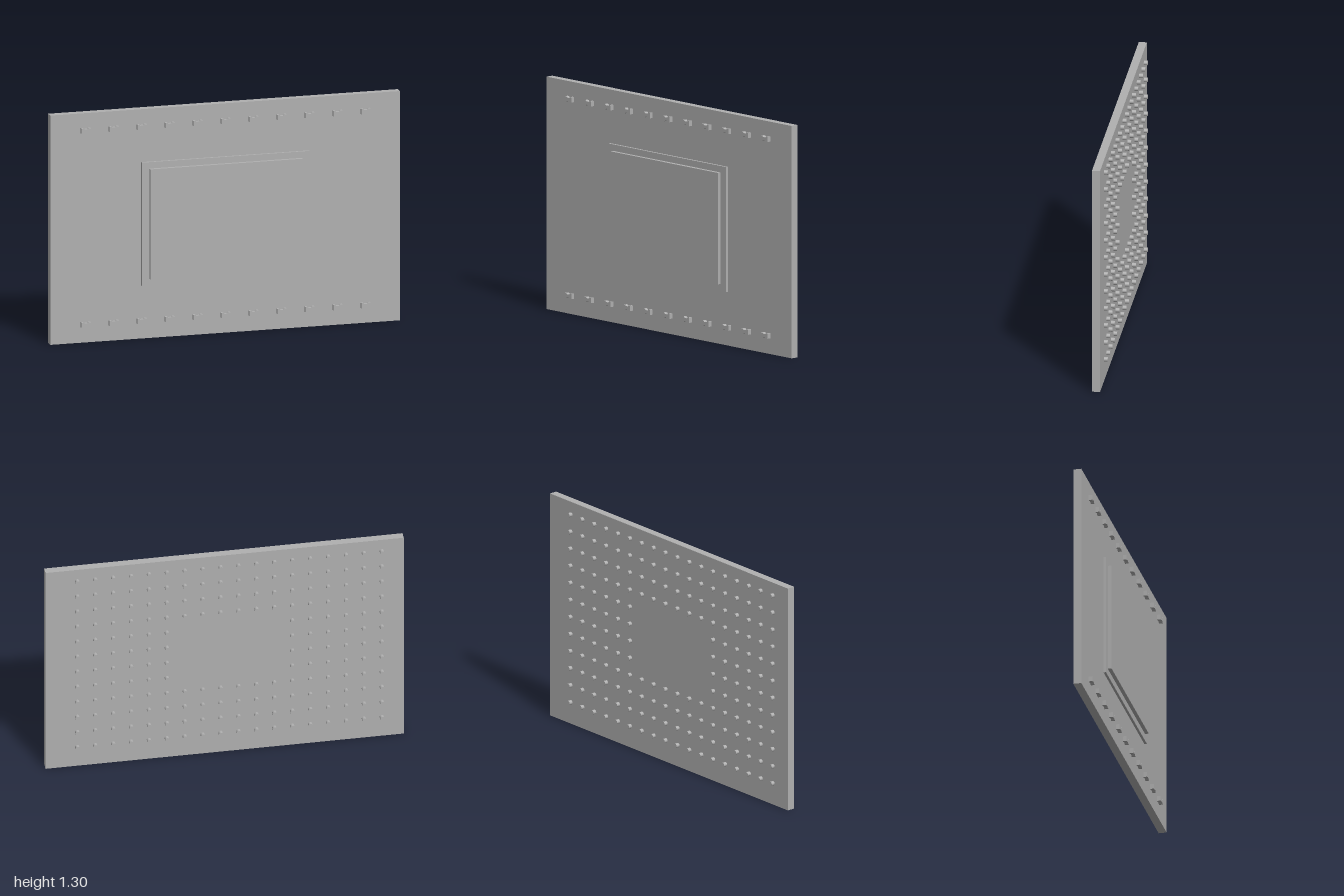
import * as THREE from 'three';

export function createModel() {
  const model = new THREE.Group();
  model.name = 'chipPackage';
  const grey = new THREE.MeshStandardMaterial({ color: 0xb0b0b0 });
  grey.name = 'plain grey';

  const BACK = -0.029, FRONT = 0.016;

  const add = (name, geometry, x, y, z, parent = model) => {
    const mesh = new THREE.Mesh(geometry, grey);
    mesh.name = name;
    mesh.position.set(x, y, z);
    parent.add(mesh);
    return mesh;
  };
  // Box given by its extents in x, y and z
  const slab = (name, x0, x1, y0, y1, z0, z1) =>
    add(name, new THREE.BoxGeometry(x1 - x0, y1 - y0, z1 - z0),
      (x0 + x1) / 2, (y0 + y1) / 2, (z0 + z1) / 2);

  // Board and the stepped lid on its front
  slab('board', -1, 1, 0, 1.3, BACK, FRONT);
  slab('lidFlange', -0.48, 0.48, 0.3, 1.0, FRONT, 0.03);
  slab('lidTop', -0.438, 0.436, 0.34, 0.964, 0.03, 0.051);

  // Small waisted components in two rows
  const outline = [
    [-0.027, -0.0145], [-0.015, -0.0145], [-0.009, -0.009], [0.009, -0.009],
    [0.015, -0.0145], [0.027, -0.0145], [0.027, 0.0145], [0.015, 0.0145],
    [0.009, 0.009], [-0.009, 0.009], [-0.015, 0.0145], [-0.027, 0.0145],
  ].map(([x, y]) => new THREE.Vector2(x, y));
  const componentGeo = new THREE.ExtrudeGeometry(new THREE.Shape(outline),
    { depth: 0.021, bevelEnabled: false });
  const components = new THREE.Group();
  components.name = 'surfaceComponents';
  model.add(components);
  for (const y of [0.103, 1.203])
    for (let i = 0; i < 11; i++)
      add('component', componentGeo, -0.8 + i * 0.16, y, FRONT, components);

  // Grid of round contacts on the back, with an empty centre
  const contactGeo = new THREE.CylinderGeometry(0.0125, 0.0125, 0.021, 20);
  contactGeo.rotateX(Math.PI / 2);
  const contacts = new THREE.Group();
  contacts.name = 'contacts';
  model.add(contacts);
  for (let row = 0; row < 12; row++)
    for (let col = 0; col < 18; col++) {
      if (row >= 4 && row <= 7 && col >= 6 && col <= 11) continue;
      add('contact', contactGeo, -0.877 + col * 0.1, 0.126 + row * 0.1,
        BACK - 0.0105, contacts);
    }

  return model;
}
